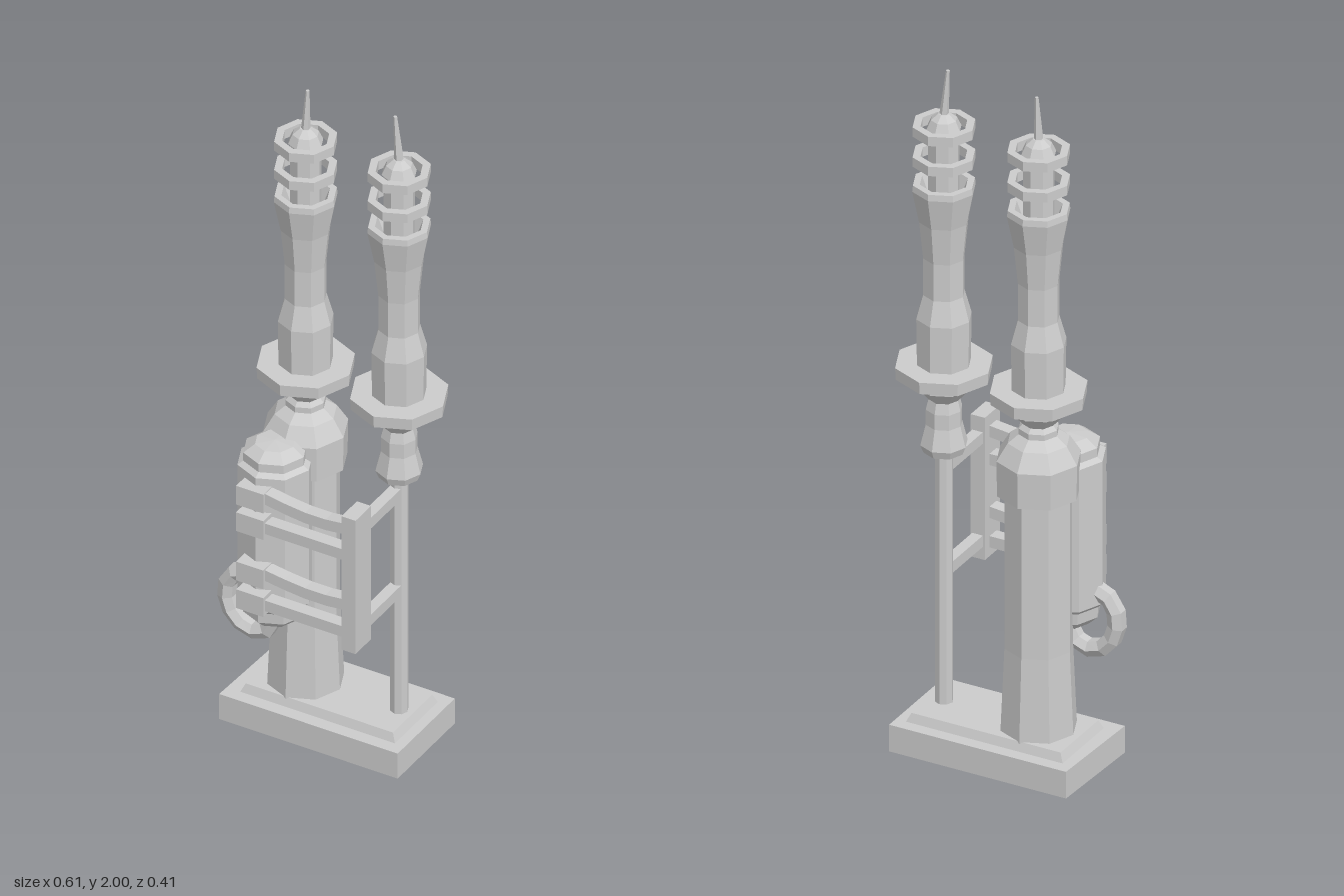
import * as THREE from 'three';

const mat = new THREE.MeshStandardMaterial({ color: 0xcccccc, flatShading: true, side: THREE.DoubleSide });

function add(parent, name, geometry, x = 0, y = 0, z = 0) {
  const mesh = new THREE.Mesh(geometry, mat);
  mesh.name = name;
  mesh.position.set(x, y, z);
  parent.add(mesh);
  return mesh;
}

// Eight-sided turned part from [radius, height] pairs, bottom to top
const turned = (pairs) => new THREE.LatheGeometry(pairs.map(([r, y]) => new THREE.Vector2(r, y)), 8);

// Box given by its limits on each axis
function block(parent, name, x0, x1, y0, y1, z0, z1) {
  return add(parent, name, new THREE.BoxGeometry(x1 - x0, y1 - y0, z1 - z0),
    (x0 + x1) / 2, (y0 + y1) / 2, (z0 + z1) / 2);
}

// Upper column with flange, flared body, rings and needle
function upperColumn(x, z, lean, tipY) {
  const g = new THREE.Group();
  g.name = 'upperColumn';
  g.position.set(x, 0, z);
  add(g, 'collar', turned([[0.042, 1.015], [0.076, 1.055], [0.076, 1.09]]));
  add(g, 'flange', turned([[0, 1.087], [0.132, 1.087], [0.134, 1.122], [0, 1.122]]));
  add(g, 'flaredBody', turned([
    [0.074, 1.12], [0.076, 1.26], [0.057, 1.33], [0.057, 1.44], [0.068, 1.55],
    [0.087, 1.645], [0.085, 1.663], [0.066, 1.663], [0.045, 1.61],
  ]));
  add(g, 'core', turned([[0.043, 1.6], [0.043, 1.82], [0.048, 1.825], [0.036, 1.852], [0.016, 1.868], [0, 1.87]]));
  for (const y of [1.72, 1.81]) {
    add(g, 'ring', turned([[0.064, y], [0.086, y], [0.086, y + 0.028], [0.064, y + 0.028], [0.064, y]]));
  }
  // Needle leaning slightly toward its tip
  const needle = new THREE.CylinderGeometry(0.005, 0.013, tipY - 1.86, 6);
  const p = needle.attributes.position;
  for (let i = 0; i < p.count; i++) if (p.getY(i) > 0) p.setX(i, p.getX(i) + lean);
  add(g, 'needle', needle, 0, (tipY + 1.86) / 2, 0);
  return g;
}

export function createModel() {
  const model = new THREE.Group();
  model.name = 'twinColumns';
  const z = -0.06, xA = -0.112, xB = 0.174;

  // Base slab with one slightly skewed end
  const slab = block(model, 'baseSlab', -0.289, 0.257, 0, 0.08, -0.208, 0.089);
  const sp = slab.geometry.attributes.position;
  for (let i = 0; i < sp.count; i++) if (sp.getX(i) < 0 && sp.getZ(i) < 0) sp.setX(i, sp.getX(i) + 0.012);

  // Bevelled step on the base
  const step = block(model, 'baseStep', -0.247, 0.227, 0.079, 0.105, -0.172, 0.052);
  const bp = step.geometry.attributes.position;
  for (let i = 0; i < bp.count; i++) {
    if (bp.getY(i) > 0) {
      bp.setX(i, bp.getX(i) - 0.012 * Math.sign(bp.getX(i)));
      bp.setZ(i, bp.getZ(i) - 0.01 * Math.sign(bp.getZ(i)));
    }
  }

  // Thick column: pillar, domed shoulder and neck
  add(model, 'thickPillar', turned([[0.105, 0.1], [0.094, 0.35], [0.094, 0.82]]), xA, 0, z);
  add(model, 'shoulder', turned([
    [0.09, 0.8], [0.114, 0.81], [0.116, 0.915], [0.085, 0.965], [0.055, 0.988], [0.055, 1.005], [0.042, 1.02],
  ]), xA, 0, z);
  model.add(upperColumn(xA, z, 0.006, 1.99));

  // Thin column: pole and socket
  add(model, 'pole', new THREE.CylinderGeometry(0.025, 0.025, 0.78, 8), xB, 0.48, z);
  add(model, 'socket', turned([
    [0, 0.857], [0.056, 0.857], [0.065, 0.88], [0.05, 0.94], [0.05, 0.985], [0.042, 1.017],
  ]), xB, 0, z);
  model.add(upperColumn(xB, z, -0.012, 2));

  // Canister in front of the thick column
  add(model, 'canister', turned([
    [0, 0.372], [0.062, 0.375], [0.088, 0.4], [0.09, 0.432], [0.103, 0.445], [0.103, 0.872],
    [0.087, 0.882], [0.087, 0.908], [0.055, 0.93], [0, 0.934],
  ]), -0.133, 0, 0.063);

  // Looped hose from the canister side to its underside
  const loop = new THREE.CatmullRomCurve3([
    [-0.215, 0.485], [-0.262, 0.462], [-0.281, 0.41], [-0.268, 0.35], [-0.225, 0.309],
    [-0.175, 0.308], [-0.142, 0.34], [-0.136, 0.4],
  ].map(([x, y]) => new THREE.Vector3(x, y, 0.063)));
  add(model, 'hose', new THREE.TubeGeometry(loop, 9, 0.026, 6));

  // Upright plate held out from the pole by two arms
  block(model, 'plate', 0.152, 0.195, 0.445, 0.872, 0.122, 0.203);
  for (const y of [0.5, 0.81]) block(model, 'plateArm', 0.158, 0.19, y - 0.017, y + 0.017, z, 0.13);

  // Clamps on the canister, joined to the plate by rods, alternately sagging and straight
  [[0.82, 0.014], [0.735, 0], [0.577, 0.012], [0.488, 0]].forEach(([y, sag]) => {
    block(model, 'clamp', -0.176, -0.093, y - 0.031, y + 0.029, 0.13, 0.193);
    const rod = new THREE.BoxGeometry(0.25, 0.034, 0.037, 4, 1, 1);
    const rp = rod.attributes.position;
    for (let i = 0; i < rp.count; i++) {
      rp.setY(i, rp.getY(i) - sag * Math.cos((rp.getX(i) - 0.03) * 12));
    }
    add(model, 'rod', rod, 0.03, y + sag * 0.4, 0.166);
  });

  return model;
}
